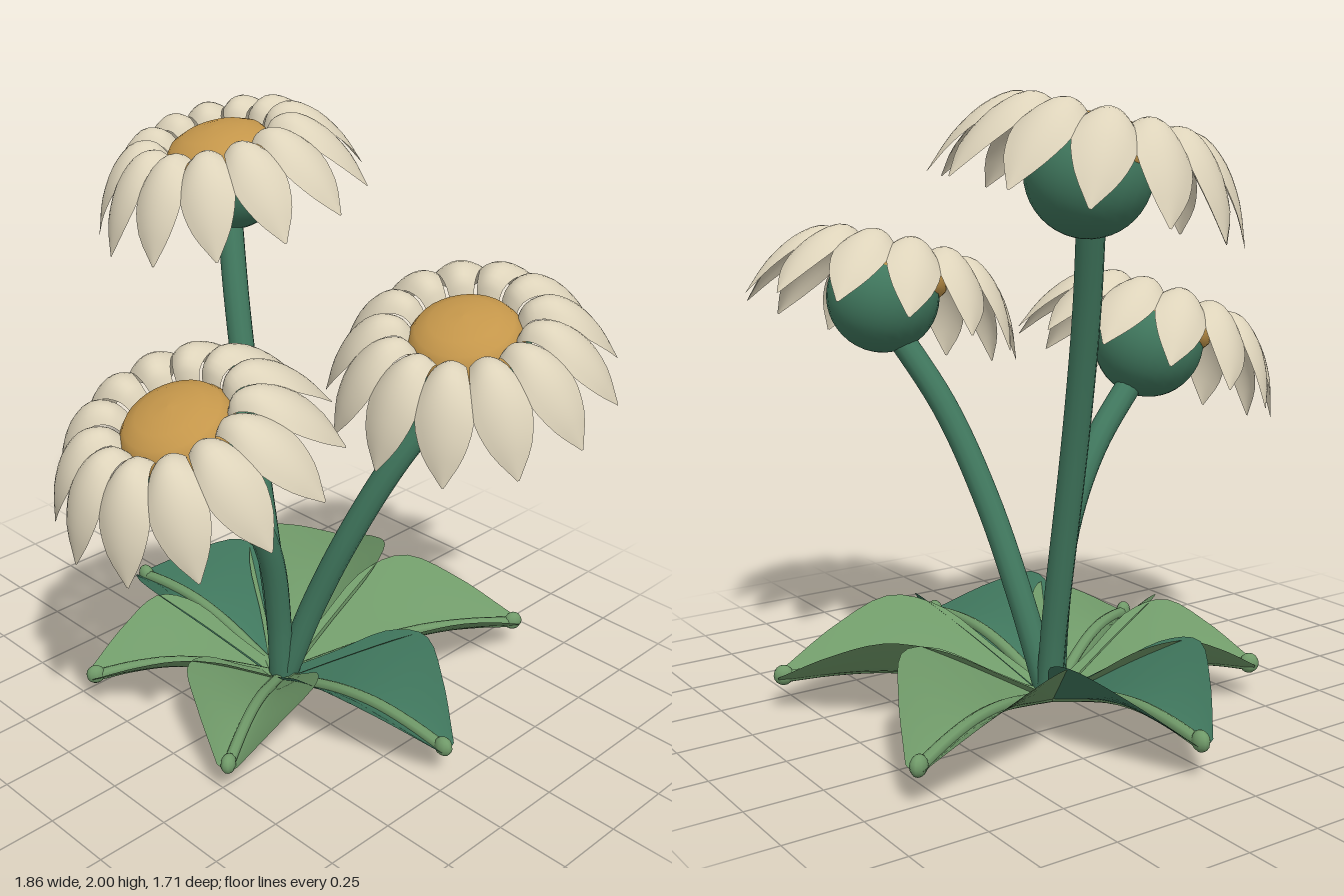
import * as THREE from 'three';

const mat = (name, color, side = THREE.FrontSide) => {
  const m = new THREE.MeshStandardMaterial({ color, side });
  m.name = name;
  return m;
};
const V = (x, y, z) => new THREE.Vector3(x, y, z);

// Curved blade along +z. Stations are [reach, height, halfWidth];
// edges are lifted by lift * halfWidth * |v|^power, v running from 0 to 1 at the edge.
function bladeGeometry(stations, lift, power, nu, nv) {
  const curve = new THREE.CatmullRomCurve3(stations.map(s => V(...s)));
  const geo = new THREE.PlaneGeometry(1, 1, nv, nu);
  const pos = geo.attributes.position;
  for (let i = 0; i < pos.count; i++) {
    const v = pos.getX(i) * 2;
    const p = curve.getPoint(0.5 - pos.getY(i));
    const w = Math.max(p.z, 0.002);
    pos.setXYZ(i, v * w, p.y + lift * w * Math.abs(v) ** power, p.x);
  }
  geo.computeVertexNormals();
  return geo;
}

export function createModel() {
  const model = new THREE.Group();
  model.name = 'flowerClump';
  const cream = mat('petalCream', 0xddd3ba, THREE.DoubleSide);
  const gold = mat('discGold', 0xc4964a);
  const deep = mat('deepGreen', 0x41795f, THREE.DoubleSide);
  const light = mat('leafGreen', 0x709a69, THREE.DoubleSide);

  const add = (parent, name, geo, material) => {
    const mesh = new THREE.Mesh(geo, material);
    mesh.name = name;
    parent.add(mesh);
    return mesh;
  };

  // Shared flower head shapes; the origin is near the top of the disc
  const petalGeo = bladeGeometry([
    [0.16, -0.06, 0.034], [0.2, 0.005, 0.045], [0.27, 0.018, 0.066],
    [0.35, -0.035, 0.09], [0.42, -0.135, 0.066], [0.47, -0.265, 0.003],
  ], -0.55, 2, 16, 8);
  const discGeo = new THREE.LatheGeometry([
    [0, -0.12], [0.17, -0.12], [0.186, -0.095], [0.18, -0.055],
    [0.155, -0.022], [0.11, 0], [0.055, 0.012], [0, 0.016],
  ].map(p => new THREE.Vector2(...p)), 32);
  // Bowl under the disc, open at the top
  const calyxGeo = new THREE.SphereGeometry(0.19, 24, 14, 0, Math.PI * 2, 1.1, Math.PI - 1.1);
  const PETALS = 13;

  // Flowers: head position, forward tilt, sideways roll, petal spin, stem path
  const flowers = [
    { name: 'tallFlower', top: [-0.492, 1.922, -0.165], tilt: 0.225, roll: 0.09, spin: 0,
      stem: [[-0.06, 0.06, -0.07], [-0.1, 0.3, -0.075], [-0.25, 0.95, -0.1], [-0.36, 1.35, -0.14], [-0.45, 1.65, -0.19]] },
    { name: 'middleFlower', top: [0.49, 1.488, -0.308], tilt: 0.325, roll: -0.09, spin: -0.23,
      stem: [[-0.04, 0.06, -0.07], [0.045, 0.34, -0.11], [0.17, 0.66, -0.16], [0.305, 0.97, -0.24], [0.45, 1.26, -0.37]] },
    { name: 'frontFlower', top: [0.07, 1.307, 0.523], tilt: 0.41, roll: 0, spin: 0.09,
      stem: [[-0.05, 0.06, -0.05], [-0.03, 0.3, -0.02], [0.005, 0.58, 0.05], [0.03, 0.83, 0.175], [0.06, 1.08, 0.39]] },
  ];
  for (const f of flowers) {
    const flower = new THREE.Group();
    flower.name = f.name;
    const head = new THREE.Group();
    head.name = 'flowerHead';
    head.position.set(...f.top);
    head.rotation.set(f.tilt, 0, f.roll);
    add(head, 'disc', discGeo, gold);
    add(head, 'calyx', calyxGeo, deep).position.set(0, -0.16, -0.02);
    for (let i = 0; i < PETALS; i++) {
      add(head, 'petal', petalGeo, cream).rotation.y = Math.PI + f.spin + i / PETALS * Math.PI * 2;
    }
    const path = new THREE.CatmullRomCurve3(f.stem.map(p => V(...p)));
    add(flower, 'stem', new THREE.TubeGeometry(path, 24, 0.044, 12), deep);
    flower.add(head);
    model.add(flower);
  }

  // Rosette of six folded leaves: heading from +z, length, half width, leaf material
  const leaves = [
    [Math.PI - 0.525, 0.9, 0.262, light], [Math.PI + 0.525, 0.9, 0.262, light],
    [Math.PI / 2, 0.78, 0.25, deep], [-Math.PI / 2, 0.78, 0.25, deep],
    [0.55, 0.68, 0.225, light], [-0.55, 0.68, 0.225, light],
  ];
  const rosette = new THREE.Group();
  rosette.name = 'leafRosette';
  rosette.position.set(-0.06, 0, -0.06);
  for (const [heading, len, w, material] of leaves) {
    const leaf = new THREE.Group();
    leaf.name = 'leaf';
    leaf.rotation.y = heading;
    const stations = [
      [0, 0.01, 0.04], [0.2 * len, 0.06, 0.5 * w], [0.4 * len, 0.105, 0.88 * w],
      [0.6 * len, 0.128, 0.97 * w], [0.8 * len, 0.125, 0.62 * w], [len, 0.105, 0.035],
    ];
    add(leaf, 'leafBlade', bladeGeometry(stations, 0.73, 1.25, 18, 12), material);
    // Midrib with a rounded tip
    const rib = new THREE.CatmullRomCurve3(stations.map(([r, y]) => V(0, y + 0.015, r)));
    add(leaf, 'midrib', new THREE.TubeGeometry(rib, 20, 0.02, 8), light);
    const tip = add(leaf, 'leafTip', new THREE.SphereGeometry(0.028, 10, 8), light);
    tip.position.set(0, 0.128, len - 0.015);
    tip.scale.set(0.9, 1.2, 1.2);
    rosette.add(leaf);
  }
  model.add(rosette);
  return model;
}
